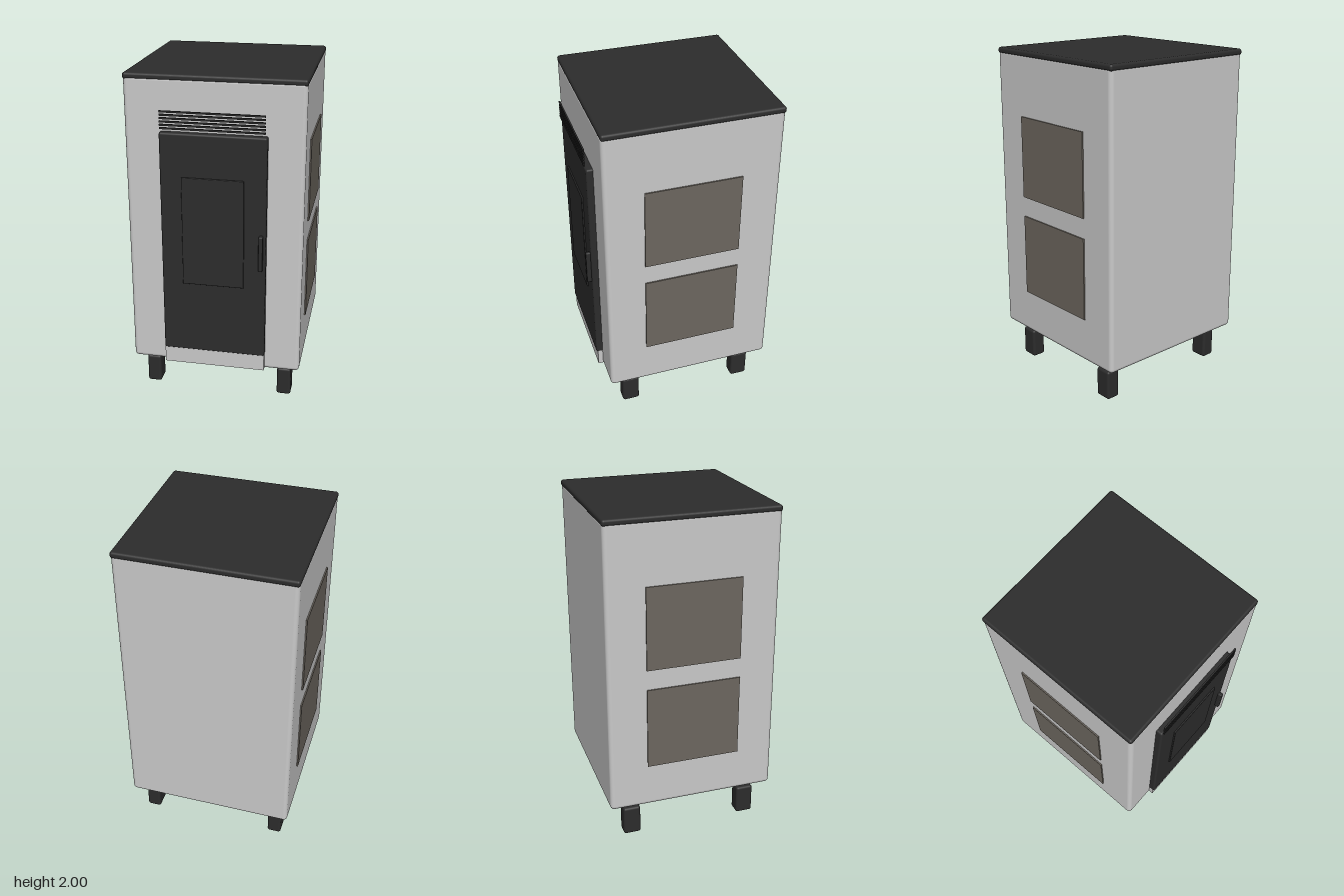
import * as THREE from 'three';
import { RoundedBoxGeometry } from 'three/addons/geometries/RoundedBoxGeometry.js';

const flat = (name, color) => {
  const m = new THREE.MeshStandardMaterial({ color });
  m.name = name;
  return m;
};

export function createModel() {
  const group = new THREE.Group();
  group.name = 'stove';
  const grey = flat('light grey enamel', 0xcacaca);
  const black = flat('black metal', 0x2c2c2c);
  const taupe = flat('taupe panel', 0x6d675f);

  // Box between min and max corners, with optional rounded edges
  function block(name, material, [x0, x1], [y0, y1], [z0, z1], radius = 0) {
    const size = [x1 - x0, y1 - y0, z1 - z0];
    const geometry = radius
      ? new RoundedBoxGeometry(...size, 4, radius)
      : new THREE.BoxGeometry(...size);
    const mesh = new THREE.Mesh(geometry, material);
    mesh.name = name;
    mesh.position.set((x0 + x1) / 2, (y0 + y1) / 2, (z0 + z1) / 2);
    group.add(mesh);
    return mesh;
  }

  // Cabinet and lid
  block('cabinet', grey, [-0.513, 0.51], [0.225, 1.985], [-0.545, 0.48], 0.025);
  block('lid', black, [-0.515, 0.512], [1.962, 2], [-0.548, 0.48], 0.015);

  // Front door, glass, handle and the skirt below
  block('door', black, [-0.306, 0.303], [0.33, 1.682], [0.46, 0.519], 0.012);
  block('doorGlass', black, [-0.181, 0.178], [0.775, 1.43], [0.515, 0.528], 0.003);
  block('doorHandle', black, [0.264, 0.288], [0.895, 1.11], [0.51, 0.545], 0.007);
  block('skirt', grey, [-0.305, 0.302], [0.23, 0.53], [0.46, 0.51]);

  // Vent slats above the door
  for (let i = 0; i < 6; i++) {
    const y = 1.71 + i * 0.0188;
    block('ventSlat', black, [-0.298, 0.294], [y - 0.005, y + 0.005], [0.52, 0.529]);
  }

  // Two inset-look panels on each side
  for (const x of [-0.515, 0.512]) {
    for (const [y0, y1] of [[0.493, 0.993], [1.115, 1.612]]) {
      block('sidePanel', taupe, [x - 0.006, x + 0.006], [y0, y1], [-0.315, 0.253]);
    }
  }

  // Four feet
  for (const x of [-0.415, 0.41]) {
    for (const z of [-0.4, 0.34]) {
      block('foot', black, [x - 0.043, x + 0.043], [0, 0.181], [z - 0.053, z + 0.053], 0.015);
    }
  }

  return group;
}
